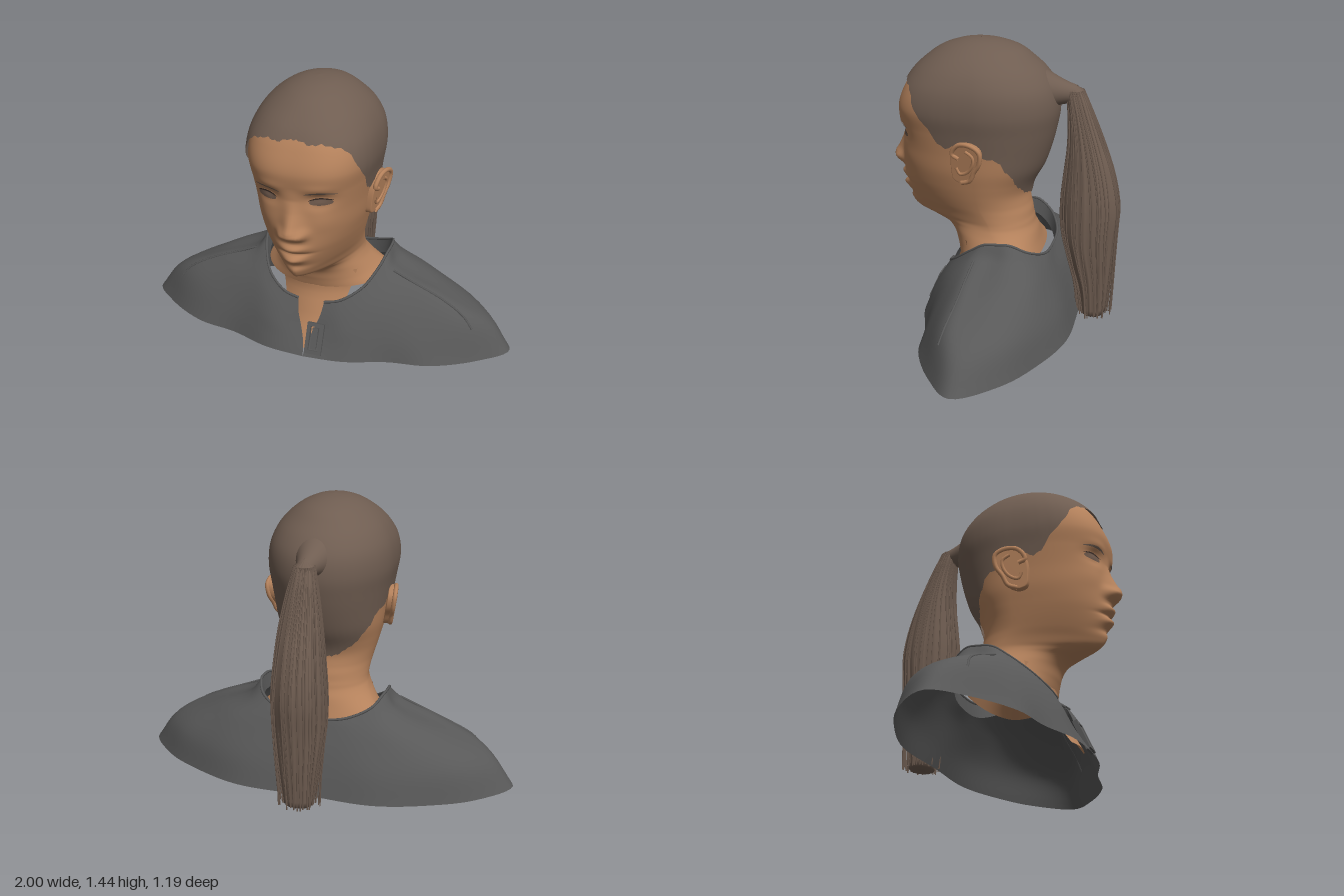
import * as THREE from 'three';
import { mergeVertices } from 'three/addons/utils/BufferGeometryUtils.js';

const mat = (name, color) => Object.assign(new THREE.MeshStandardMaterial({ color, side: THREE.DoubleSide }), { name });
const V = (p) => new THREE.Vector3(...p);

// Smooth lookup in a table whose first column ascends
function sample(t, y) {
  let i = 1;
  while (i < t.length - 1 && y > t[i][0]) i++;
  const a = t[i - 1], b = t[i], p = t[i - 2] || a, q = t[i + 1] || b, h = b[0] - a[0];
  const s = Math.min(1, Math.max(0, (y - a[0]) / h)), s2 = s * s, s3 = s2 * s;
  return a.map((v, k) => {
    const m0 = (b[k] - p[k]) / (b[0] - p[0]) * h, m1 = (q[k] - a[k]) / (q[0] - a[0]) * h;
    return (2 * s3 - 3 * s2 + 1) * v + (s3 - 2 * s2 + s) * m0 + (3 * s2 - 2 * s3) * b[k] + (s3 - s2) * m1;
  });
}
function linear(t, x) {
  let i = 1;
  while (i < t.length - 1 && x > t[i][0]) i++;
  const s = Math.min(1, Math.max(0, (x - t[i - 1][0]) / (t[i][0] - t[i - 1][0])));
  return t[i - 1][1] + s * (t[i][1] - t[i - 1][1]);
}

// Surface from fn(u, v); u can wrap round
function surface(nu, nv, closed, fn) {
  const cols = closed ? nu : nu + 1, pos = [], idx = [];
  for (let j = 0; j <= nv; j++) for (let i = 0; i < cols; i++) pos.push(...fn(i / nu, j / nv));
  for (let j = 0; j < nv; j++) for (let i = 0; i < nu; i++) {
    const k = (i + 1) % cols, a = j * cols + i, b = j * cols + k, c = a + cols, d = b + cols;
    idx.push(a, b, d, a, d, c);
  }
  const g = new THREE.BufferGeometry();
  g.setAttribute('position', new THREE.Float32BufferAttribute(pos, 3));
  g.setIndex(idx);
  g.computeVertexNormals();
  return g;
}

// Head and neck sections: y, half width, front z, back z, widest z, front squareness
const HEAD = [
  [0.33, 0.34, 0.235, -0.2, -0.08, 2], [0.38, 0.285, 0.25, -0.185, -0.05, 2],
  [0.44, 0.235, 0.275, -0.17, 0, 2], [0.48, 0.215, 0.33, -0.155, 0.03, 1.7],
  [0.505, 0.21, 0.42, -0.15, 0.04, 1.45], [0.525, 0.21, 0.48, -0.145, 0.05, 1.4],
  [0.56, 0.213, 0.51, -0.14, 0.07, 1.45], [0.6, 0.22, 0.52, -0.13, 0.09, 1.6],
  [0.66, 0.235, 0.53, -0.125, 0.1, 1.8], [0.72, 0.25, 0.535, -0.145, 0.1, 2],
  [0.8, 0.268, 0.53, -0.19, 0.1, 2.2], [0.9, 0.28, 0.525, -0.225, 0.1, 2.4],
  [1.0, 0.294, 0.53, -0.25, 0.1, 2.6], [1.1, 0.308, 0.54, -0.265, 0.1, 2.75],
  [1.2, 0.298, 0.505, -0.25, 0.1, 2.7], [1.28, 0.264, 0.455, -0.2, 0.11, 2.4],
  [1.34, 0.215, 0.39, -0.135, 0.12, 2.2], [1.39, 0.15, 0.315, -0.07, 0.125, 2],
  [1.417, 0.092, 0.24, 0.008, 0.125, 2], [1.428, 0.047, 0.184, 0.066, 0.125, 2], [1.432, 0.001, 0.126, 0.124, 0.125, 2]];

// Face relief: mirrored soft bumps [x, y, spread x, spread y, height]
const BUMPS = [[0.125, 0.965, 0.055, 0.035, -0.028], [0.13, 0.958, 0.035, 0.02, 0.016],
  [0.12, 1.025, 0.07, 0.025, 0.006], [0.05, 0.79, 0.026, 0.026, 0.026], [0.15, 0.85, 0.07, 0.06, 0.008],
  [0.025, 0.71, 0.045, 0.02, 0.016], [0.02, 0.645, 0.045, 0.018, 0.014],
  [0.04, 0.678, 0.05, 0.009, -0.01], [0.02, 0.6, 0.06, 0.018, -0.006]];
const NOSE = [[0.735, 0], [0.755, 0.014], [0.775, 0.05], [0.795, 0.069], [0.815, 0.068], [0.84, 0.053], [0.9, 0.026], [0.96, 0.004], [1.02, 0]];
function relief(x, y) {
  const width = 0.034 + 0.016 * Math.min(1, Math.max(0, (1 - y) / 0.2));
  let z = linear(NOSE, y) * Math.exp(-((x / width) ** 2));
  for (const [bx, by, sx, sy, h] of BUMPS)
    for (const s of [-1, 1]) z += h * Math.exp(-(((x - s * bx) / sx) ** 2) - ((y - by) / sy) ** 2);
  return z;
}
function headPoint(angle, y, grow = 0) {
  const [, w, zf, zb, zc, n] = sample(HEAD, y), s = Math.sin(angle), c = Math.cos(angle);
  const e = c > 0 ? n : 2, r = (Math.abs(s) ** e + Math.abs(c) ** e) ** (-1 / e);
  const x = (w + grow) * s * r, depth = (c > 0 ? zf - zc : zc - zb) + grow;
  return [x, y, zc + depth * c * r + (c > 0 ? relief(x, y) : 0)];
}
function faceZ(x, y) {
  const [, w, zf, , zc, n] = sample(HEAD, y);
  return zc + (zf - zc) * (1 - Math.abs(x / w) ** n) ** (1 / n) + relief(x, y);
}
// Thin painted patch lying on the face
const facePatch = (cx, cy, hw, hh, arch, lift) => surface(16, 4, false, (u, v) => {
  const a = 2 * u - 1, x = cx + hw * a, y = cy + arch * (1 - a * a) + hh * (2 * v - 1) * Math.sqrt(1 - a * a);
  return [x, y, faceZ(x, y) + lift];
});

// Hairline height by angle in degrees from the front
const HAIRLINE = [[0, 1.25], [20, 1.24], [38, 1.23], [46, 1.19], [53, 1.125], [61, 1.05], [67, 0.96], [72, 0.94], [78, 0.96],
  [92, 0.95], [99, 0.9], [114, 0.88], [121, 0.82], [144, 0.71], [165, 0.66], [180, 0.65]];

// Ponytail sections: y, centre z, half depth, half width
const TAIL = [[0, -0.475, 0.06, 0.075], [0.2, -0.468, 0.088, 0.1], [0.4, -0.442, 0.13, 0.125], [0.6, -0.44, 0.148, 0.13],
  [0.8, -0.43, 0.122, 0.115], [0.95, -0.41, 0.087, 0.098], [1.1, -0.378, 0.06, 0.072], [1.18, -0.355, 0.05, 0.055],
  [1.22, -0.345, 0.03, 0.035], [1.23, -0.34, 0.004, 0.004]];

// Jacket columns, collar to hem, from front opening round to the spine
const JACKET_FRONT = [
  [[0.07, 0.26, 0.27], [0.06, 0.2, 0.3], [0.035, 0.13, 0.33], [0.01, 0.06, 0.37], [0, 0, 0.41]],
  [[0.15, 0.28, 0.26], [0.17, 0.21, 0.305], [0.19, 0.14, 0.34], [0.2, 0.07, 0.365], [0.21, 0, 0.39]],
  [[0.25, 0.34, 0.2], [0.29, 0.28, 0.24], [0.34, 0.2, 0.27], [0.38, 0.1, 0.3], [0.42, 0, 0.32]],
  [[0.31, 0.42, 0.1], [0.37, 0.355, 0.14], [0.47, 0.27, 0.18], [0.56, 0.14, 0.235], [0.64, 0, 0.28]],
  [[0.33, 0.465, 0.03], [0.38, 0.395, 0.07], [0.6, 0.305, 0.08], [0.79, 0.19, 0.11], [0.87, 0, 0.15]]];
const JACKET_BACK = [
  [[0.335, 0.475, -0.04], [0.38, 0.4, -0.02], [0.65, 0.285, 0], [0.88, 0.16, 0], [1, 0, 0.01]],
  [[0.33, 0.475, -0.1], [0.39, 0.4, -0.11], [0.58, 0.3, -0.13], [0.77, 0.16, -0.17], [0.84, 0, -0.19]],
  [[0.29, 0.43, -0.18], [0.35, 0.38, -0.2], [0.47, 0.29, -0.24], [0.57, 0.15, -0.29], [0.63, 0, -0.31]],
  [[0.17, 0.38, -0.24], [0.2, 0.35, -0.26], [0.27, 0.27, -0.3], [0.33, 0.14, -0.36], [0.36, 0, -0.4]],
  [[0, 0.36, -0.25], [0, 0.33, -0.265], [0, 0.25, -0.31], [0, 0.12, -0.36], [0, 0, -0.4]]];

export function createModel() {
  const model = new THREE.Group();
  model.name = 'bust';
  const skin = mat('skin', 0xb5825c), hair = mat('hair', 0x6f5d51), cloth = mat('cloth', 0x585858);
  const trim = mat('trim', 0x4c4d4e), eyeTone = mat('eye', 0x6d584b), lash = mat('lash', 0x3a2d27);
  const add = (name, geo, m, parent = model) => {
    const mesh = new THREE.Mesh(geo, m);
    mesh.name = name;
    parent.add(mesh);
    return mesh;
  };
  let seed = 7;
  const rand = () => (seed = (seed * 16807) % 2147483647) / 2147483647;
  const TAU = Math.PI * 2;

  // Head, neck and the chest showing in the open collar
  add('headAndNeck', surface(128, 150, true, (u, v) => headPoint(u * TAU, 0.33 + 0.96 * v)), skin);
  const CHEST = [[0.02, 0.365], [0.15, 0.29], [0.3, 0.235], [0.42, 0.24]];
  add('chest', surface(12, 12, false, (u, v) => {
    const x = (0.2 + 0.22 * v) * (u - 0.5), y = 0.02 + 0.4 * v;
    return [x, y, linear(CHEST, y) - 2 * x * x];
  }), skin);

  // Eyes, lashes and brows
  for (const s of [-1, 1]) {
    add('eye', facePatch(s * 0.133, 0.957, 0.053, 0.018, 0.004, 0.004), eyeTone);
    add('eyelash', facePatch(s * 0.133, 0.966, 0.058, 0.004, 0.012, 0.006), lash);
    add('eyebrow', facePatch(s * 0.13, 1.0, 0.075, 0.005, 0.012, 0.004), hair);
  }

  // Ears: outlined plate, rim and inner fold, leaning outwards to the back
  const earX = (y, z) => -(0.283 + 0.14 * (y - 0.77) + 0.22 * (0.19 - z));
  const outline = [[0.195, 0.92], [0.16, 0.972], [0.1, 0.978], [0.05, 0.95], [0.05, 0.89], [0.08, 0.84], [0.105, 0.79],
    [0.15, 0.772], [0.19, 0.785], [0.2, 0.83]];
  const loop = new THREE.CatmullRomCurve3(outline.map(([z, y]) => V([z, y, 0])), true);
  let plate = new THREE.ExtrudeGeometry(new THREE.Shape(loop.getPoints(40).map((p) => new THREE.Vector2(p.x, p.y))),
    { depth: 0.03, bevelSize: 0.004, bevelThickness: 0.004, bevelSegments: 2 });
  const pp = plate.attributes.position;
  for (let i = 0; i < pp.count; i++) {
    const z = pp.getX(i), y = pp.getY(i), d = pp.getZ(i);
    pp.setXYZ(i, earX(y, z) + 0.03 - d, y, z);
  }
  plate.deleteAttribute('uv');
  plate.deleteAttribute('normal');
  plate = mergeVertices(plate);
  plate.computeVertexNormals();
  const earTube = (pts, r) => new THREE.TubeGeometry(
    new THREE.CatmullRomCurve3(pts.map(([z, y]) => V([earX(y, z) - 0.003, y, z]))), 32, r, 8);
  const rim = earTube([[0.16, 0.9], ...outline.slice(0, 8)], 0.012);
  const fold = earTube([[0.12, 0.945], [0.085, 0.92], [0.085, 0.88], [0.115, 0.835], [0.155, 0.82], [0.175, 0.85]], 0.009);
  for (const s of [1, -1]) {
    const ear = new THREE.Group();
    ear.name = s > 0 ? 'rightEar' : 'leftEar';
    ear.scale.x = s;
    model.add(ear);
    add('earPlate', plate, skin, ear);
    add('earRim', rim, skin, ear);
    add('earFold', fold, skin, ear);
  }

  // Swept-back hair from the hairline to the crown
  add('hair', surface(144, 48, true, (u, v) => {
    const deg = Math.abs(u < 0.5 ? u : u - 1) * 360;
    const low = linear(HAIRLINE, deg) + 0.005 * Math.sin(deg * 0.31) + 0.004 * Math.sin(deg * 0.83);
    const p = headPoint(u * TAU, low + (1.432 - low) * Math.sin(v * Math.PI / 2), 0.012 * (1 - v ** 6));
    p[1] += 0.008 * v;
    return p;
  }), hair);

  // Gathered base, tie and ponytail
  const BASE = [[-0.36, 1.18, 0.043], [-0.31, 1.184, 0.056], [-0.26, 1.188, 0.075], [-0.2, 1.19, 0.105], [-0.14, 1.19, 0.14]];
  add('ponytailBase', surface(32, 16, true, (u, v) => {
    const [z, y, r] = sample(BASE, -0.36 + 0.22 * v);
    return [r * Math.cos(u * TAU), y + r * Math.sin(u * TAU), z];
  }), hair);
  const tie = add('hairTie', new THREE.TorusGeometry(0.046, 0.006, 8, 24), trim);
  tie.position.set(0, 1.172, -0.34);
  tie.rotation.x = 0.5;
  const ridges = Array.from({ length: 64 }, () => 0.93 + 0.1 * rand());
  const tailPoint = (a, y, k) => {
    const [, z, rz, rx] = sample(TAIL, y);
    return [k * rx * Math.sin(a), y, z + k * rz * Math.cos(a)];
  };
  add('ponytail', surface(64, 40, true, (u, v) =>
    tailPoint(u * TAU, Math.max(0, (v - 0.025) / 0.975) * 1.23, v === 0 ? 0 : ridges[Math.round(u * 64) % 64])), hair);
  // Loose strands that fan out towards the tips
  for (let i = 0; i < 48; i++) {
    const a = i / 48 * TAU + 0.1 * rand(), k = 0.96 + 0.08 * rand(), fan = 0.55 * rand(), twist = 0.4 * (rand() - 0.5), pts = [];
    for (let j = 0; j <= 8; j++) pts.push(V(tailPoint(a + twist * j / 8, 1.2 - 1.195 * j / 8, k + fan * (j / 8) ** 5)));
    add('strand', new THREE.TubeGeometry(new THREE.CatmullRomCurve3(pts), 20, 0.0035, 4), hair);
  }

  // Jacket shell, mirrored across the spine
  const half = [...JACKET_FRONT, ...JACKET_BACK];
  const columns = [...half.map((c) => c.map(([x, y, z]) => [-x, y, z])), ...half.slice(0, -1).reverse()].reverse();
  const curves = columns.map((c) => new THREE.CatmullRomCurve3(c.map(V)));
  const rings = Array.from({ length: 25 }, (_, j) =>
    new THREE.CatmullRomCurve3(curves.map((c) => c.getPoint(1 - j / 24))));
  add('jacket', surface(108, 24, false, (u, v) => {
    const p = rings[Math.round(v * 24)].getPoint(u);
    return [p.x, Math.max(0, p.y), p.z];
  }), cloth);
  add('collarEdge', new THREE.TubeGeometry(rings[24], 120, 0.007, 6), cloth);
  add('collarLining', surface(80, 4, false, (u, v) => {
    const p = rings[24].getPoint(0.05 + 0.9 * u), t = 1 - v;
    return [p.x * (1 - 0.05 * t), p.y - 0.08 * t, p.z * (1 - 0.05 * t)];
  }), cloth);
  for (const i of [4, 14]) {
    const seam = new THREE.CatmullRomCurve3([0.25, 0.4, 0.55, 0.7, 0.8].map((t) => curves[i].getPoint(t)));
    add('shoulderSeam', new THREE.TubeGeometry(seam, 24, 0.006, 6), cloth);
  }

  // Zip pull at the foot of the opening
  const zip = new THREE.Group();
  zip.name = 'zipPull';
  zip.position.set(0.05, 0.09, 0.362);
  zip.rotation.x = -0.42;
  model.add(zip);
  for (const s of [-1, 1]) {
    add('zipSide', new THREE.BoxGeometry(0.018, 0.16, 0.024), cloth, zip).position.x = s * 0.036;
    add('zipEnd', new THREE.BoxGeometry(0.09, 0.018, 0.024), cloth, zip).position.y = s * 0.072;
  }
  add('zipTab', new THREE.BoxGeometry(0.03, 0.11, 0.02), cloth, zip);
  return model;
}
